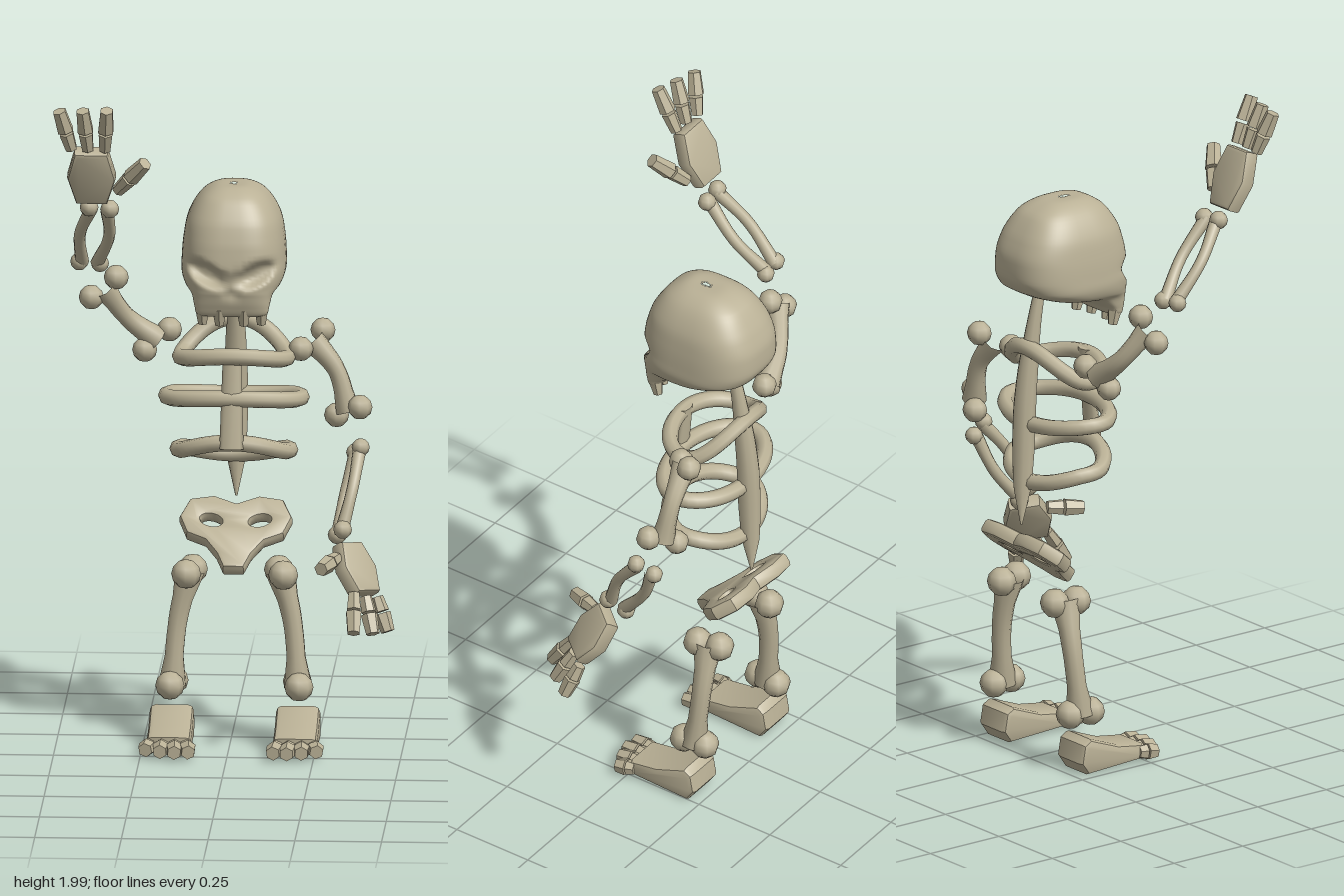
import * as THREE from 'three';
import { toCreasedNormals, mergeVertices } from 'three/addons/utils/BufferGeometryUtils.js';

const bone = new THREE.MeshStandardMaterial({ color: 0xbab196 });
bone.name = 'bone';
const V = (p) => new THREE.Vector3(...p);
const UP = new THREE.Vector3(0, 1, 0);
const CX = 0.013; // mid line of the body

function add(parent, name, geometry) {
  const mesh = new THREE.Mesh(geometry, bone);
  mesh.name = name;
  parent.add(mesh);
  return mesh;
}

function group(parent, name) {
  const g = new THREE.Group();
  g.name = name;
  parent.add(g);
  return g;
}

// Tube along points whose radius follows a list of values
function shaft(parent, name, points, radii, sides = 10) {
  const curve = new THREE.CatmullRomCurve3(points.map(V));
  const n = 20;
  const geo = new THREE.TubeGeometry(curve, n, 1, sides);
  const pos = geo.attributes.position, v = new THREE.Vector3();
  for (let i = 0; i < pos.count; i++) {
    const u = Math.floor(i / (sides + 1)) / n;
    const f = u * (radii.length - 1), k = Math.min(Math.floor(f), radii.length - 2);
    const r = THREE.MathUtils.lerp(radii[k], radii[k + 1], f - k);
    const c = curve.getPointAt(u);
    v.fromBufferAttribute(pos, i).sub(c).multiplyScalar(r).add(c);
    pos.setXYZ(i, v.x, v.y, v.z);
  }
  return add(parent, name, geo);
}

// Pair of rounded knobs either side of a bone end
function knobs(parent, name, at, axis, r) {
  for (const s of [-1, 1]) {
    const m = add(parent, name, new THREE.SphereGeometry(r, 8, 6));
    m.position.copy(V(at)).addScaledVector(V(axis), s);
  }
}

// Six-sided block between two points
function segment(parent, name, a, b, r0, r1) {
  const d = b.clone().sub(a);
  const geo = toCreasedNormals(new THREE.CylinderGeometry(r1, r0, d.length(), 6), 0.6);
  const m = add(parent, name, geo);
  m.position.copy(a).addScaledVector(d, 0.5);
  m.quaternion.setFromUnitVectors(UP, d.normalize());
}

// Finger, thumb or toe made of two separate blocks
function digit(parent, name, from, to, r) {
  const a = V(from), b = V(to);
  segment(parent, name + 'Base', a, a.clone().lerp(b, 0.42), r * 0.72, r * 0.9);
  segment(parent, name + 'Tip', a.clone().lerp(b, 0.48), b, r, r * 0.8);
}

function plate(shape, depth, bevel) {
  const geo = new THREE.ExtrudeGeometry(shape, {
    depth, bevelEnabled: true, bevelThickness: bevel, bevelSize: bevel,
    bevelOffset: -bevel, bevelSegments: 2, curveSegments: 10,
  });
  geo.translate(0, 0, -depth / 2);
  return toCreasedNormals(geo, 0.7);
}

// Skull: stacked cross-sections [y, half width, front z, back z]
function skull(parent) {
  const g = group(parent, 'skull');
  const keys = [
    [1.68, 0.002, -0.1, -0.12], [1.678, 0.05, -0.05, -0.18], [1.65, 0.095, 0, -0.24],
    [1.59, 0.132, 0.04, -0.285], [1.53, 0.145, 0.058, -0.308], [1.47, 0.15, 0.066, -0.31],
    [1.43, 0.15, 0.065, -0.29], [1.4, 0.138, 0.062, -0.22], [1.38, 0.118, 0.057, -0.09],
    [1.345, 0.108, 0.046, -0.03], [1.322, 0.1, 0.036, -0.01], [1.318, 0.002, 0.02, 0.018],
  ];
  const size = new THREE.CatmullRomCurve3(keys.map((k) => V([k[0], k[1], 0])));
  const depth = new THREE.CatmullRomCurve3(keys.map((k) => V([k[2], k[3], 0])));
  const cols = 64, rows = 55;
  let geo = new THREE.SphereGeometry(1, cols, rows);
  const pos = geo.attributes.position;
  const soft = (v) => Math.sign(v) * Math.abs(v) ** 0.72;
  for (let i = 0; i < pos.count; i++) {
    const t = Math.floor(i / (cols + 1)) / rows, a = (i % (cols + 1)) / cols * Math.PI * 2;
    const s = size.getPoint(t), d = depth.getPoint(t);
    const x = -s.y * soft(Math.cos(a)), y = s.x;
    let z = (d.x + d.y) / 2 + (d.x - d.y) / 2 * soft(Math.sin(a));
    if (Math.sin(a) > 0.2 && z > -0.05) {
      // slanted eye sockets and a small nose hollow
      const ex = Math.abs(x) - 0.07, ey = y - 1.445 - 0.35 * ex;
      const e = (ex / 0.052) ** 2 + (ey / 0.03) ** 2;
      const n = (x / 0.018) ** 2 + ((y - 1.39) / 0.018) ** 2;
      z -= 0.04 * Math.exp(-e * e) + 0.012 * Math.exp(-n);
    }
    pos.setXYZ(i, x, y, z);
  }
  geo.deleteAttribute('uv');
  geo.deleteAttribute('normal');
  geo = mergeVertices(geo, 1e-5);
  geo.computeVertexNormals();
  add(g, 'cranium', geo);
  for (const x of [-0.085, -0.035, 0.035, 0.085]) {
    const z = Math.abs(x) > 0.05 ? 0.005 : 0.02;
    segment(g, 'tooth', V([x, 1.34, z + 0.004]), V([x, 1.29, z - 0.005]), 0.023, 0.014);
  }
  g.position.x = CX + 0.002;
}

// Rib hoops, tilted by separate side, front and back heights
function ribCage(parent) {
  const g = group(parent, 'ribCage');
  const ribs = [[0.155, 1.16, 1.185, 1.25], [0.195, 1.042, 1.06, 1.022], [0.162, 0.885, 0.93, 0.845]];
  for (const [rx, side, front, back] of ribs) {
    const pts = [];
    for (let i = 0; i < 20; i++) {
      const a = i / 20 * Math.PI * 2, s = Math.sin(a);
      pts.push(V([CX + rx * Math.cos(a), side + ((s > 0 ? front : back) - side) * s * s, -0.137 + 0.112 * s]));
    }
    add(g, 'rib', new THREE.TubeGeometry(new THREE.CatmullRomCurve3(pts, true), 48, 0.024, 8, true));
  }
  const sternum = add(g, 'sternum', toCreasedNormals(new THREE.CylinderGeometry(0.026, 0.035, 0.29, 8), 0.9));
  sternum.scale.z = 0.5;
  sternum.position.set(CX, 1.06, -0.022);
  sternum.rotation.x = -0.11;
  shaft(g, 'spine', [[CX, 1.42, -0.2], [CX, 1.3, -0.225], [CX, 1.1, -0.253], [CX, 0.9, -0.262], [CX, 0.715, -0.268]],
    [0.016, 0.022, 0.03, 0.034, 0.034, 0.028, 0.003]);
}

// Tilted hip plate with two lobes and two openings
function pelvis(parent) {
  const half = [[0.03, 0], [0.05, 0.05], [0.085, 0.1], [0.14, 0.125], [0.163, 0.185], [0.135, 0.25], [0.065, 0.262]];
  const outline = [...half, [0, 0.235], ...half.map(([x, y]) => [-x, y]).reverse()];
  const shape = new THREE.Shape(outline.map(([x, y]) => new THREE.Vector2(x, y)));
  for (const s of [-1, 1]) {
    const hole = new THREE.Path();
    hole.absellipse(s * 0.07, 0.172, 0.032, 0.02, 0, Math.PI * 2, false, s * 0.3);
    shape.holes.push(hole);
  }
  const m = add(parent, 'pelvis', plate(shape, 0.022, 0.012));
  m.position.set(CX, 0.53, -0.105);
  m.rotation.x = -0.9;
}

function leg(parent, s) {
  const g = group(parent, s > 0 ? 'leftLeg' : 'rightLeg');
  const X = (x) => CX + s * x;
  shaft(g, 'legBone', [[X(0.13), 0.51, -0.21], [X(0.165), 0.36, -0.21], [X(0.182), 0.17, -0.195]],
    [0.045, 0.031, 0.028, 0.028, 0.042]);
  knobs(g, 'hipKnob', [X(0.132), 0.503, -0.21], [s * 0.008, 0, 0.033], 0.043);
  knobs(g, 'ankleKnob', [X(0.182), 0.176, -0.195], [s * 0.004, 0, 0.034], 0.042);
  // foot from a side profile, drawn as z and y
  const profile = [[-0.21, 0.004], [-0.235, 0.04], [-0.225, 0.095], [-0.2, 0.11], [-0.1, 0.072], [-0.01, 0.058], [-0.01, 0.012]];
  const foot = add(g, 'foot', plate(new THREE.Shape(profile.map(([z, y]) => new THREE.Vector2(z, y))), 0.095, 0.016));
  foot.rotation.y = -Math.PI / 2;
  foot.position.x = X(0.182);
  [[-0.06, 0.055], [-0.02, 0.062], [0.022, 0.052], [0.065, 0.032]].forEach(([x, z]) =>
    digit(g, 'toe', [X(0.182 + x * 0.85), 0.035, -0.025], [X(0.182 + x), 0.03, z], 0.026));
}

// Arm: upper bone, two bowed forearm bones, palm and digits
function arm(parent, name, a) {
  const g = group(parent, name);
  shaft(g, 'upperArm', a.upper, [0.038, 0.03, 0.026, 0.028, 0.036]);
  knobs(g, 'shoulderKnob', a.upper[0], a.shoulderAxis, 0.036);
  knobs(g, 'elbowKnob', a.upper[2], a.elbowAxis, 0.036);
  const [top, end] = a.fore.map(V), side = V(a.foreSide).normalize();
  for (const s of [-1, 1]) {
    const at = (t, w) => top.clone().lerp(end, t).addScaledVector(side, s * w).toArray();
    shaft(g, 'forearmBone', [at(0, 0.022), at(0.5, 0.042), at(1, 0.022)], [0.02, 0.017, 0.017, 0.02]);
  }
  const spread = side.clone().multiplyScalar(0.03).toArray();
  knobs(g, 'forearmTop', a.fore[0], spread, 0.026);
  knobs(g, 'wristKnob', a.fore[1], spread, 0.027);
  // palm, a six-sided plate turned to the hand's own axes
  const from = V(a.palm[0]), dir = V(a.palm[1]).sub(from), len = dir.length();
  dir.normalize();
  const across = V(a.palmSide).addScaledVector(dir, -V(a.palmSide).dot(dir)).normalize();
  const outline = [[-0.045, 0], [0.045, 0], [0.07, 0.5], [0.048, 1], [-0.048, 1], [-0.07, 0.5]];
  const palm = add(g, 'palm', plate(new THREE.Shape(outline.map(([x, t]) => new THREE.Vector2(x, t * len))), 0.026, 0.012));
  palm.quaternion.setFromRotationMatrix(new THREE.Matrix4().makeBasis(across, dir, across.clone().cross(dir)));
  palm.position.copy(from);
  a.fingers.forEach(([p, q]) => digit(g, 'finger', p, q, 0.025));
  digit(g, 'thumb', a.thumb[0], a.thumb[1], 0.026);
}

export function createModel() {
  const model = new THREE.Group();
  model.name = 'skeleton';
  skull(model);
  ribCage(model);
  pelvis(model);
  for (const s of [-1, 1]) leg(model, s);
  arm(model, 'rightArm', {
    upper: [[-0.21, 1.2, -0.165], [-0.295, 1.27, -0.145], [-0.36, 1.37, -0.095]],
    shoulderAxis: [0.035, 0.027, -0.015], elbowAxis: [0.036, 0.03, 0],
    fore: [[-0.398, 1.455, -0.045], [-0.36, 1.66, 0.135]], foreSide: [1, -0.1, -0.1],
    palm: [[-0.38, 1.69, 0.165], [-0.378, 1.855, 0.235]], palmSide: [1, 0, 0],
    fingers: [
      [[-0.435, 1.86, 0.24], [-0.468, 1.98, 0.275]],
      [[-0.387, 1.86, 0.245], [-0.4, 1.985, 0.29]],
      [[-0.338, 1.86, 0.245], [-0.33, 1.99, 0.305]],
    ],
    thumb: [[-0.305, 1.725, 0.185], [-0.222, 1.822, 0.25]],
  });
  arm(model, 'leftArm', {
    upper: [[0.235, 1.2, -0.19], [0.305, 1.11, -0.195], [0.34, 0.99, -0.185]],
    shoulderAxis: [0.03, 0.02, -0.035], elbowAxis: [0.035, 0.018, 0.025],
    fore: [[0.37, 0.885, -0.145], [0.325, 0.672, -0.015]], foreSide: [0.3, 0.45, 0.8],
    palm: [[0.345, 0.64, 0], [0.402, 0.51, 0.072]], palmSide: [-0.065, 0.02, 0.08],
    fingers: [
      [[0.372, 0.52, 0.105], [0.375, 0.42, 0.178]],
      [[0.405, 0.505, 0.08], [0.428, 0.407, 0.13]],
      [[0.435, 0.495, 0.04], [0.468, 0.4, 0.07]],
    ],
    thumb: [[0.32, 0.615, 0.065], [0.28, 0.605, 0.165]],
  });
  return model;
}
